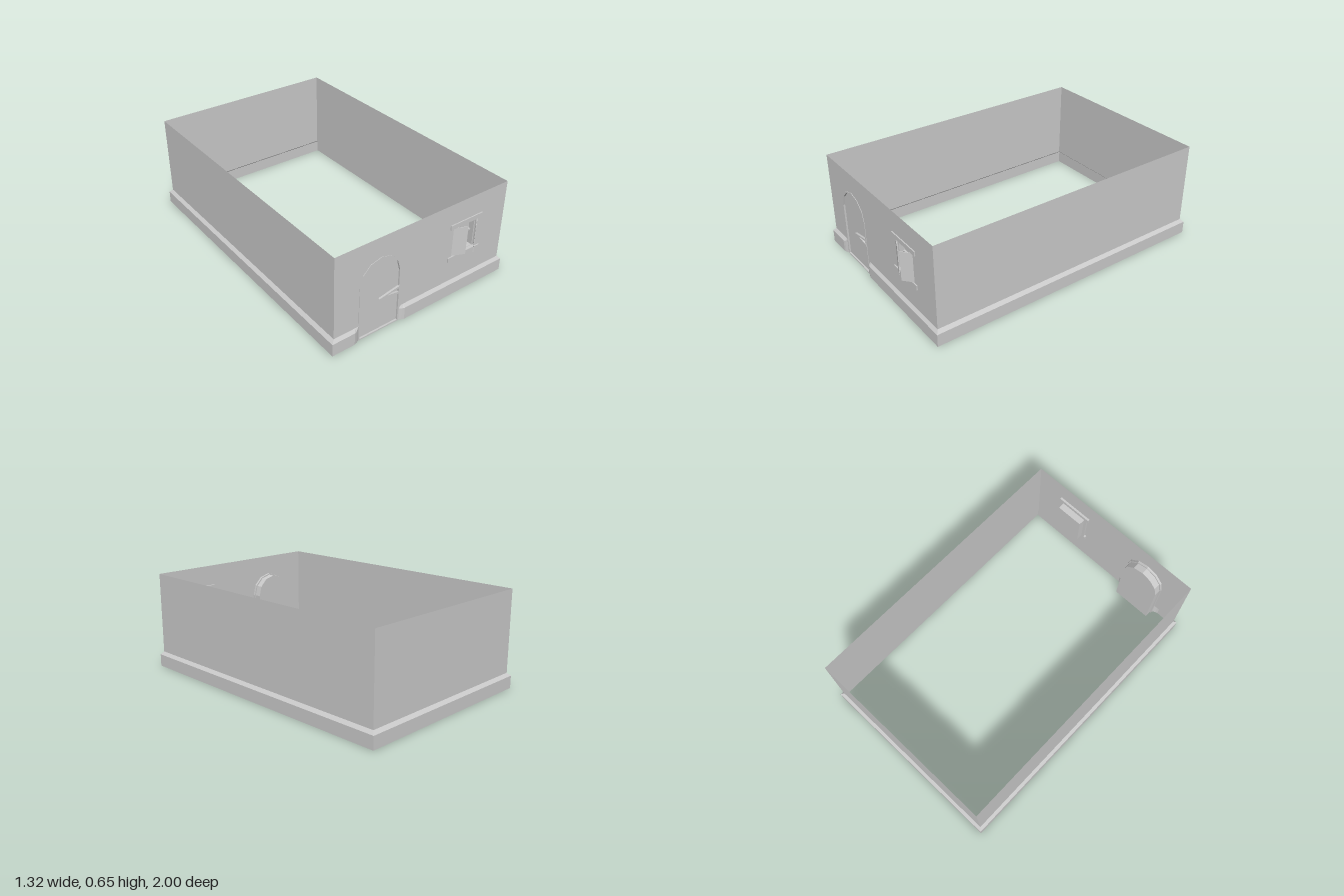
import * as THREE from 'three';

const material = new THREE.MeshStandardMaterial({ color: 0xcccccc, flatShading: true, side: THREE.DoubleSide });
const DOOR_X = -0.3215, SPRING = 0.37;

function add(parent, name, geometry, x = 0, y = 0, z = 0) {
  const mesh = new THREE.Mesh(geometry, material);
  mesh.name = name;
  mesh.position.set(x, y, z);
  parent.add(mesh);
  return mesh;
}

// Box given by its limits on each axis
function box(parent, name, [x0, x1], [y0, y1], [z0, z1]) {
  return add(parent, name, new THREE.BoxGeometry(x1 - x0, y1 - y0, z1 - z0),
    (x0 + x1) / 2, (y0 + y1) / 2, (z0 + z1) / 2);
}

// Sheet joining rows of points, each row running along the wall
function sheet(rows) {
  const pos = [];
  for (let r = 0; r < rows.length - 1; r++) {
    for (let i = 0; i < rows[r].length - 1; i++) {
      const a = rows[r][i], b = rows[r][i + 1], c = rows[r + 1][i + 1], d = rows[r + 1][i];
      pos.push(...a, ...b, ...c, ...a, ...c, ...d);
    }
  }
  const g = new THREE.BufferGeometry();
  g.setAttribute('position', new THREE.Float32BufferAttribute(pos, 3));
  g.computeVertexNormals();
  return g;
}

// Six-sided arch outline, from bottom left over the top to bottom right
function archPoints(r, base) {
  const pts = [new THREE.Vector2(DOOR_X - r, base)];
  for (let i = 0; i <= 6; i++) {
    const a = Math.PI * (1 - i / 6);
    pts.push(new THREE.Vector2(DOOR_X + r * Math.cos(a), SPRING + r * Math.sin(a)));
  }
  pts.push(new THREE.Vector2(DOOR_X + r, base));
  return pts;
}

const extrude = (shape, depth) => new THREE.ExtrudeGeometry(shape, { depth, bevelEnabled: false });

const polygon = (pts) => new THREE.Shape(pts.map(([x, y]) => new THREE.Vector2(x, y)));

function buildWalls(house) {
  // Front wall with door notch and window opening
  const front = new THREE.Shape([
    new THREE.Vector2(-0.64, 0.1), ...archPoints(0.147, 0.1),
    new THREE.Vector2(0.64, 0.1), new THREE.Vector2(0.64, 0.65), new THREE.Vector2(-0.64, 0.65)]);
  front.holes.push(polygon([[0.22, 0.27], [0.22, 0.49], [0.415, 0.49], [0.415, 0.27]]));
  add(house, 'frontWall', new THREE.ShapeGeometry(front), 0, 0, 0.95);

  // Side and back walls
  const corners = [[0.64, 0.95], [0.64, -0.98], [-0.64, -0.98], [-0.64, 0.95]];
  add(house, 'sideAndBackWalls', sheet([0.1, 0.65].map((y) => corners.map(([x, z]) => [x, y, z]))));

  // Plinth running round from one door jamb to the other, dying into the wall at the door
  const inner = [[-0.1745, 0.95], [-0.155, 0.95], [-0.14, 0.95], ...corners, [-0.505, 0.95], [-0.49, 0.95], [-0.4685, 0.95]];
  const outer = [[-0.1745, 0.95], [-0.155, 0.961], [-0.14, 0.966], [0.66, 0.966], [0.66, -1],
    [-0.66, -1], [-0.66, 0.966], [-0.505, 0.966], [-0.49, 0.961], [-0.4685, 0.95]];
  const row = (path, y) => path.map(([x, z]) => [x, y, z]);
  add(house, 'plinth', sheet([row(outer, 0), row(outer, 0.083), row(inner, 0.103)]));
}

function buildDoor(house) {
  const door = new THREE.Group();
  door.name = 'door';
  house.add(door);

  // Thin arched frame around a thick slab
  const frame = new THREE.Shape(archPoints(0.148, 0));
  frame.holes.push(new THREE.Path(archPoints(0.138, 0.008)));
  add(door, 'doorFrame', extrude(frame, 0.018), 0, 0, 0.935);
  add(door, 'doorSlab', extrude(new THREE.Shape(archPoints(0.139, 0.004)), 0.052), 0, 0, 0.89);

  // Forked strap hinge
  const strap = polygon([[-0.325, 0.23], [-0.178, 0.202], [-0.178, 0.257]]);
  strap.holes.push(polygon([[-0.272, 0.23], [-0.186, 0.242], [-0.186, 0.217]]));
  add(door, 'hinge', extrude(strap, 0.014), 0, 0, 0.941);
}

function buildWindow(house) {
  const win = new THREE.Group();
  win.name = 'window';
  house.add(win);

  // Lintel, sill and jambs
  box(win, 'lintel', [0.192, 0.446], [0.48, 0.51], [0.935, 0.957]);
  box(win, 'sill', [0.192, 0.446], [0.252, 0.281], [0.935, 0.957]);
  for (const x of [0.205, 0.412]) box(win, 'jamb', [x, x + 0.021], [0.281, 0.48], [0.935, 0.949]);

  // Recess closed at the back by the pane
  box(win, 'pane', [0.225, 0.412], [0.275, 0.486], [0.89, 0.9]);
  for (const x of [0.225, 0.404]) box(win, 'recessSide', [x, x + 0.008], [0.275, 0.486], [0.9, 0.936]);
  for (const y of [0.275, 0.478]) box(win, 'recessEnd', [0.233, 0.404], [y, y + 0.008], [0.9, 0.936]);
  box(win, 'mullion', [0.312, 0.326], [0.283, 0.478], [0.9, 0.915]);
  box(win, 'glazingBar', [0.233, 0.404], [0.377, 0.388], [0.9, 0.913]);

  // Shutters standing ajar, each given by its hinge and free edge
  for (const [name, x0, z0, x1, z1] of [
    ['rightShutter', 0.222, 0.947, 0.304, 0.982], ['leftShutter', 0.414, 0.947, 0.354, 0.998]]) {
    const leaf = add(win, name, new THREE.BoxGeometry(Math.hypot(x1 - x0, z1 - z0), 0.195, 0.004),
      (x0 + x1) / 2, 0.382, (z0 + z1) / 2);
    leaf.rotation.y = -Math.atan2(z1 - z0, x1 - x0);
  }
}

export function createModel() {
  const house = new THREE.Group();
  house.name = 'houseShell';
  buildWalls(house);
  buildDoor(house);
  buildWindow(house);
  return house;
}
